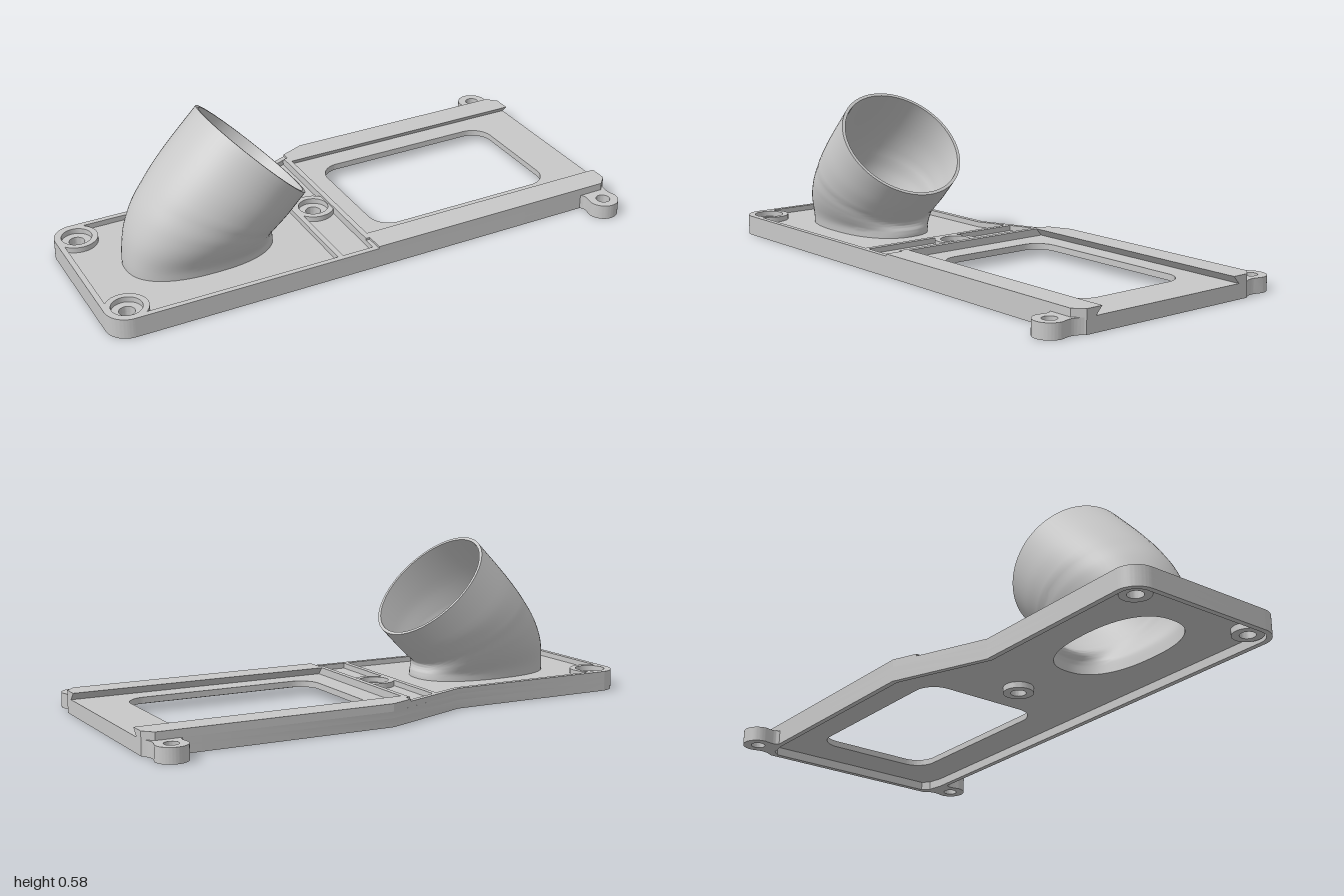
import * as THREE from 'three';
import { toCreasedNormals } from 'three/addons/utils/BufferGeometryUtils.js';

const grey = new THREE.MeshStandardMaterial({ color: 0xc8c8c8, side: THREE.DoubleSide });
grey.name = 'grey plastic';

const UNDER = 0.032, FLOOR = 0.055, RIM = 0.075, TOP = 0.083;
const DUCT_Z = 0.077;
// screw positions [x, z]
const SCREWS = [[-0.92, -0.174], [-0.92, 0.32], [-0.073, 0.031]];

function part(name, geometry, crease = 0.5) {
  const mesh = new THREE.Mesh(toCreasedNormals(geometry, crease), grey);
  mesh.name = name;
  return mesh;
}

// Shapes are drawn in plan with y = -z
const poly = (pts) => new THREE.Shape(pts.map(([x, z]) => new THREE.Vector2(x, -z)));

function circle(x, z, r) {
  const s = new THREE.Shape();
  s.absarc(x, -z, r, 0, Math.PI * 2, false);
  return s;
}

function roundRect(x0, z0, x1, z1, r) {
  const s = new THREE.Shape();
  s.absarc(x1 - r, -z0 - r, r, Math.PI / 2, 0, true);
  s.absarc(x1 - r, -z1 + r, r, 0, -Math.PI / 2, true);
  s.absarc(x0 + r, -z1 + r, r, -Math.PI / 2, -Math.PI, true);
  s.absarc(x0 + r, -z0 - r, r, Math.PI, Math.PI / 2, true);
  return s;
}

function slab(name, shape, y0, y1, holes = []) {
  shape.holes = holes;
  const g = new THREE.ExtrudeGeometry(shape, { depth: y1 - y0, bevelEnabled: false, curveSegments: 16 });
  g.rotateX(-Math.PI / 2).translate(0, y0, 0);
  return part(name, g);
}

// Rounded left end shared by the plate and its pocket, inset by d
function leftEnd(d) {
  const s = new THREE.Shape(), r = 0.08 - d;
  s.absarc(-0.92, -0.32, r, -Math.PI / 2, -Math.PI, true);
  s.absarc(-0.92, 0.175, r, Math.PI, Math.PI / 2, true);
  s.lineTo(-0.265, 0.255 - d);
  return s;
}

// Whole plate outline inset by d
function outline(d) {
  const s = leftEnd(d);
  s.lineTo(0.09, 0.4 - d);
  s.lineTo(0.965 - d, 0.4 - d);
  s.lineTo(1 - d, 0.365 - d);
  s.lineTo(1 - d, -0.365 + d);
  s.lineTo(0.965 - d, -0.4 + d);
  return s;
}

// Left end closed at x: back corner at zBack, front corner at zFront
function leftPart(d, x, zBack, zFront) {
  const s = leftEnd(d);
  s.lineTo(x, -zBack);
  s.lineTo(x, -zFront);
  return s;
}

// Dovetail rail segment, undercut on its inner side, with its outer edge running from za to zb
function rail(side, x0, x1, za, zb) {
  const profile = [[0.325, FLOOR], [0.4, FLOOR], [0.4, TOP], [0.3, TOP]];
  const s = new THREE.Shape(profile.map(([z, y]) => new THREE.Vector2(-side * z, y)));
  const g = new THREE.ExtrudeGeometry(s, { depth: x1 - x0, bevelEnabled: false });
  g.rotateY(Math.PI / 2);
  const p = g.attributes.position;
  for (let i = 0; i < p.count; i++) {
    const atEnd = p.getX(i) > (x1 - x0) / 2;
    if (Math.abs(p.getZ(i)) > 0.39) p.setZ(i, side * (atEnd ? zb : za));
  }
  g.translate(x0, 0, 0);
  return part('dovetailRail', g);
}

// Duct sections: back point, front point, half width and roundness
const curve = (pts) => new THREE.CatmullRomCurve3(pts.map(([x, y]) => new THREE.Vector3(x, y, 0)));
const ductBack = curve([[-0.832, UNDER], [-0.832, 0.09], [-0.818, 0.18], [-0.782, 0.27], [-0.725, 0.355], [-0.64, 0.453], [-0.515, 0.581]]);
const ductFront = curve([[-0.28, UNDER], [-0.283, 0.078], [-0.293, 0.095], [-0.293, 0.108], [-0.275, 0.127], [-0.23, 0.17], [-0.167, 0.235]]);
const ductWidth = curve([[0.165, 2.4], [0.172, 2.35], [0.198, 2.25], [0.219, 2.1], [0.235, 2], [0.244, 2], [0.245, 2]]);

function ductRing(t, wall, n = 64) {
  const a = ductBack.getPoint(t), b = ductFront.getPoint(t), w = ductWidth.getPoint(t);
  const centre = a.clone().add(b).multiplyScalar(0.5);
  const half = b.clone().sub(centre);
  half.setLength(half.length() - wall);
  const power = (v) => Math.sign(v) * Math.abs(v) ** (2 / w.y);
  const ring = [];
  for (let i = 0; i < n; i++) {
    const u = (i / n) * Math.PI * 2;
    const q = centre.clone().addScaledVector(half, power(Math.cos(u)));
    q.z = DUCT_Z + (w.x - wall) * power(Math.sin(u));
    ring.push(q);
  }
  return ring;
}

function duct() {
  const steps = 30, n = 64, wall = 0.012, rings = [], index = [];
  for (let j = 0; j <= steps; j++) rings.push(ductRing(j / steps, 0));
  for (let j = steps; j >= 0; j--) rings.push(ductRing(j / steps, wall));
  for (let j = 0; j < rings.length; j++) {
    const k = (j + 1) % rings.length;
    for (let i = 0; i < n; i++) {
      const m = (i + 1) % n;
      index.push(j * n + i, k * n + i, j * n + m, k * n + i, k * n + m, j * n + m);
    }
  }
  const g = new THREE.BufferGeometry().setFromPoints(rings.flat());
  g.setIndex(index);
  return part('angledDuct', g, 0.8);
}

export function createModel() {
  const model = new THREE.Group();
  model.name = 'ductMountingPlate';

  // Base plate with openings, and the rim below it
  const ductHole = poly(ductRing(0, 0.006).map((p) => [p.x, p.z]));
  const windowHole = roundRect(0.09, -0.243, 0.835, 0.243, 0.08);
  const screwHoles = SCREWS.map(([x, z]) => circle(x, z, 0.028));
  model.add(slab('plateFloor', outline(0), UNDER, FLOOR, [ductHole, windowHole, ...screwHoles]));
  model.add(slab('undersideRim', outline(0), 0, UNDER, [outline(0.02)]));

  // Raised walls around the two pockets of the duct side
  model.add(slab('pocketWalls', leftPart(0, 0, -0.363, 0.4), FLOOR, RIM, [
    leftPart(0.02, -0.155, -0.278, 0.38),
    poly([[-0.135, -0.287], [-0.015, -0.336], [-0.015, 0.38], [-0.135, 0.38]]),
  ]));

  // Screw bosses, counterbored above
  for (const [x, z] of SCREWS) {
    model.add(slab('screwBoss', circle(x, z, 0.077), FLOOR, RIM, [circle(x, z, 0.055)]));
    model.add(slab('lowerBoss', circle(x, z, 0.055), 0.01, UNDER, [circle(x, z, 0.028)]));
  }

  // Dovetail channel: stop wall and two rails
  model.add(slab('channelStop', poly([[-0.015, -0.33], [0.005, -0.33], [0.005, 0.33], [-0.015, 0.33]]), FLOOR, TOP));
  model.add(rail(-1, 0, 0.09, 0.363, 0.4), rail(-1, 0.09, 0.965, 0.4, 0.4), rail(-1, 0.965, 1, 0.4, 0.365));
  model.add(rail(1, 0, 0.965, 0.4, 0.4), rail(1, 0.965, 1, 0.4, 0.365));

  // Mounting ears with a filleted neck
  for (const side of [-1, 1]) {
    const s = new THREE.Shape(), k = -side;
    s.moveTo(0.86, k * 0.395);
    s.quadraticCurveTo(0.882, k * 0.4, 0.882, k * 0.425);
    s.lineTo(0.876, k * 0.457);
    s.absarc(0.933, k * 0.457, 0.057, Math.PI, 0, k > 0);
    s.lineTo(0.982, k * 0.425);
    s.quadraticCurveTo(0.976, k * 0.4, 0.995, k * 0.37);
    s.lineTo(0.95, k * 0.37);
    s.lineTo(0.87, k * 0.385);
    model.add(slab('mountingEar', s, 0, FLOOR, [circle(0.933, side * 0.457, 0.026)]));
  }

  model.add(duct());
  return model;
}
